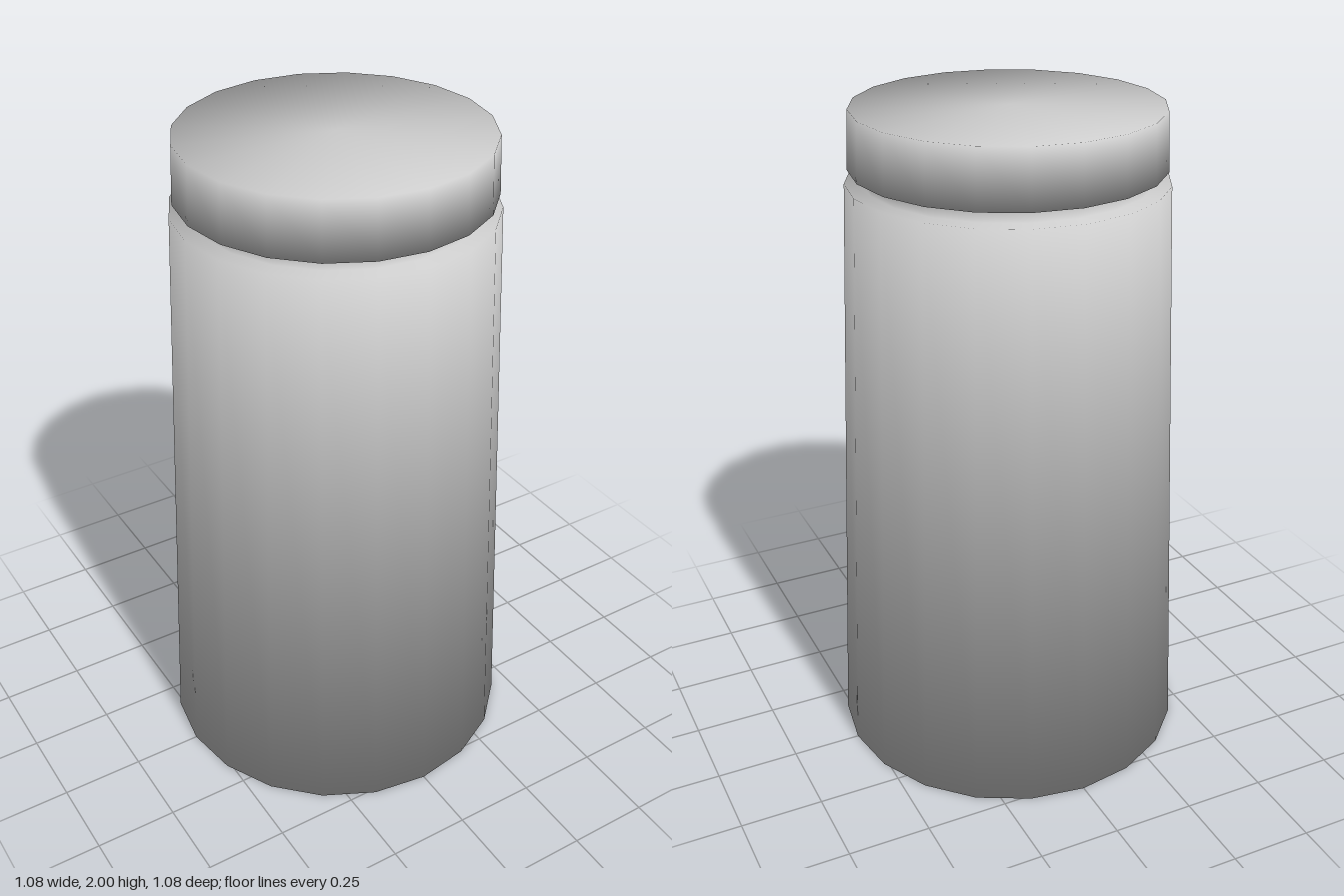
import * as THREE from 'three';

const SIDES = 20;

// Unit normal of the profile segment a -> b
const segmentNormal = (a, b) => new THREE.Vector2(b.y - a.y, a.x - b.x).normalize();

// Turned solid whose normals blend evenly across every rim
function softLathe(profile) {
  const points = profile.map(([r, y]) => new THREE.Vector2(r, y));
  const geometry = new THREE.LatheGeometry(points, SIDES);
  const normal = geometry.attributes.normal;
  const last = points.length - 1;
  for (let j = 0; j <= last; j++) {
    const n = new THREE.Vector2();
    if (j > 0) n.add(segmentNormal(points[j - 1], points[j]));
    if (j < last) n.add(segmentNormal(points[j], points[j + 1]));
    n.normalize();
    for (let i = 0; i <= SIDES; i++) {
      const angle = (i / SIDES) * Math.PI * 2;
      normal.setXYZ(i * points.length + j, n.x * Math.sin(angle), n.y, n.x * Math.cos(angle));
    }
  }
  return geometry;
}

export function createModel() {
  const group = new THREE.Group();
  group.name = 'taperedContainer';
  const material = new THREE.MeshStandardMaterial({ color: 0xcccccc });

  const parts = {
    // Closed tapered body with the ledge and the recessed neck
    body: [[0, 0], [0.54, 0], [0.465, 1.79], [0.415, 1.79], [0.415, 1.83]],
    // Cap overhanging the neck, closed on top
    cap: [[0.415, 1.83], [0.455, 1.83], [0.447, 2], [0, 2]],
  };
  for (const [name, profile] of Object.entries(parts)) {
    const mesh = new THREE.Mesh(softLathe(profile), material);
    mesh.name = name;
    group.add(mesh);
  }
  return group;
}
